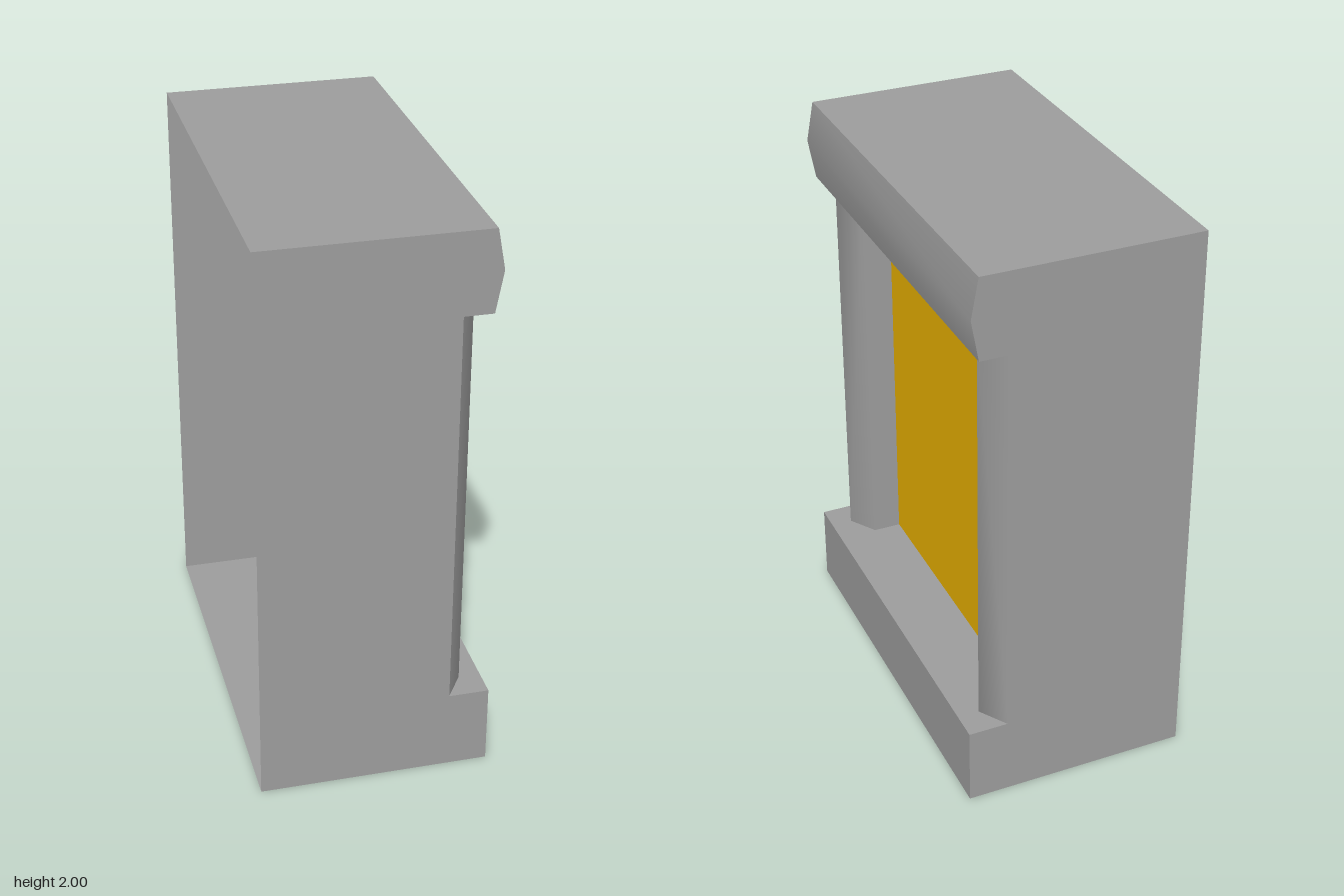
import * as THREE from 'three';

const D = 0.725;          // half depth along z
const SILL = 0.285, HEAD = 1.717, TOP = 2;
const BACK = -0.4, BASE = 0.4, WALL = 0.26, CROWN = 0.36, PANEL = 0.16;
const INNER = 0.527;      // inner edge of the pilasters

const grey = new THREE.MeshStandardMaterial({ color: 0x9d9d9d, side: THREE.DoubleSide });
const yellow = new THREE.MeshStandardMaterial({ color: 0xe7b000, side: THREE.DoubleSide });

function part(name, geometry, material = grey) {
  const mesh = new THREE.Mesh(geometry, material);
  mesh.name = name;
  return mesh;
}

// Smooth sheet spanned between two matching rows of points
function sheet(rowA, rowB) {
  const n = rowA.length, index = [];
  for (let i = 0; i < n - 1; i++) {
    index.push(i, n + i, i + 1, i + 1, n + i, n + i + 1);
  }
  const g = new THREE.BufferGeometry();
  g.setAttribute('position', new THREE.Float32BufferAttribute([...rowA, ...rowB].flat(), 3));
  g.setIndex(index);
  g.computeVertexNormals();
  return g;
}

// Profile in x,y swept through the full depth
const sweepZ = (pts) => sheet(pts.map(([x, y]) => [x, y, D]), pts.map(([x, y]) => [x, y, -D]));
// Profile in x,z swept from sill to head
const sweepY = (pts) => sheet(pts.map(([x, z]) => [x, HEAD, z]), pts.map(([x, z]) => [x, SILL, z]));

const flat = (pts) => new THREE.ShapeGeometry(new THREE.Shape(pts.map(([x, y]) => new THREE.Vector2(x, y))));

// Horizontal face from a z-symmetric x,z outline
const level = (pts, y, up) => flat(pts).rotateX(up ? -Math.PI / 2 : Math.PI / 2).translate(0, y, 0);

export function createModel() {
  const model = new THREE.Group();
  model.name = 'panelHousing';

  const crown = [[CROWN, HEAD], [0.386, 1.86], [CROWN, TOP]];
  const bulge = [[WALL, D], [0.324, (D + INNER) / 2], [WALL, INNER]];
  const reveal = [[WALL, INNER], [PANEL, INNER]];

  // Outline of the recess behind the sill and head edges, from +z to -z
  const half = [...bulge, reveal[1]];
  const recess = [...half, ...half.map(([x, z]) => [x, -z]).reverse()];
  const ledge = (edge) => [[edge, -D], [edge, D], ...recess];
  const rect = (edge) => [[BACK, -D], [edge, -D], [edge, D], [BACK, D]];

  // Shell, open at the back
  model.add(
    part('floor', level(rect(BASE), 0, false)),
    part('roof', level(rect(CROWN), TOP, true)),
    part('baseFront', sweepZ([[BASE, 0], [BASE, SILL]])),
    part('sill', level(ledge(BASE), SILL, true)),
    part('soffit', level(ledge(CROWN), HEAD, false)),
    part('lintelFront', sweepZ(crown)),
  );

  // Side wall and pilaster, mirrored across z
  const sideOutline = [[BACK, 0], [BASE, 0], [BASE, SILL], [WALL, SILL], [WALL, HEAD], ...crown, [BACK, TOP]];
  for (const s of [1, -1]) {
    const side = new THREE.Group();
    side.name = s > 0 ? 'frontSide' : 'backSide';
    side.add(
      part('sideWall', flat(sideOutline).translate(0, 0, D)),
      part('pilaster', sweepY(bulge)),
      part('pilasterReveal', sweepY(reveal)),
    );
    side.scale.z = s;
    model.add(side);
  }

  // Coloured panel set back in the opening
  const panel = part('panel', new THREE.PlaneGeometry(2 * INNER, HEAD - SILL).rotateY(Math.PI / 2), yellow);
  panel.position.set(PANEL, (SILL + HEAD) / 2, 0);
  model.add(panel);

  return model;
}
